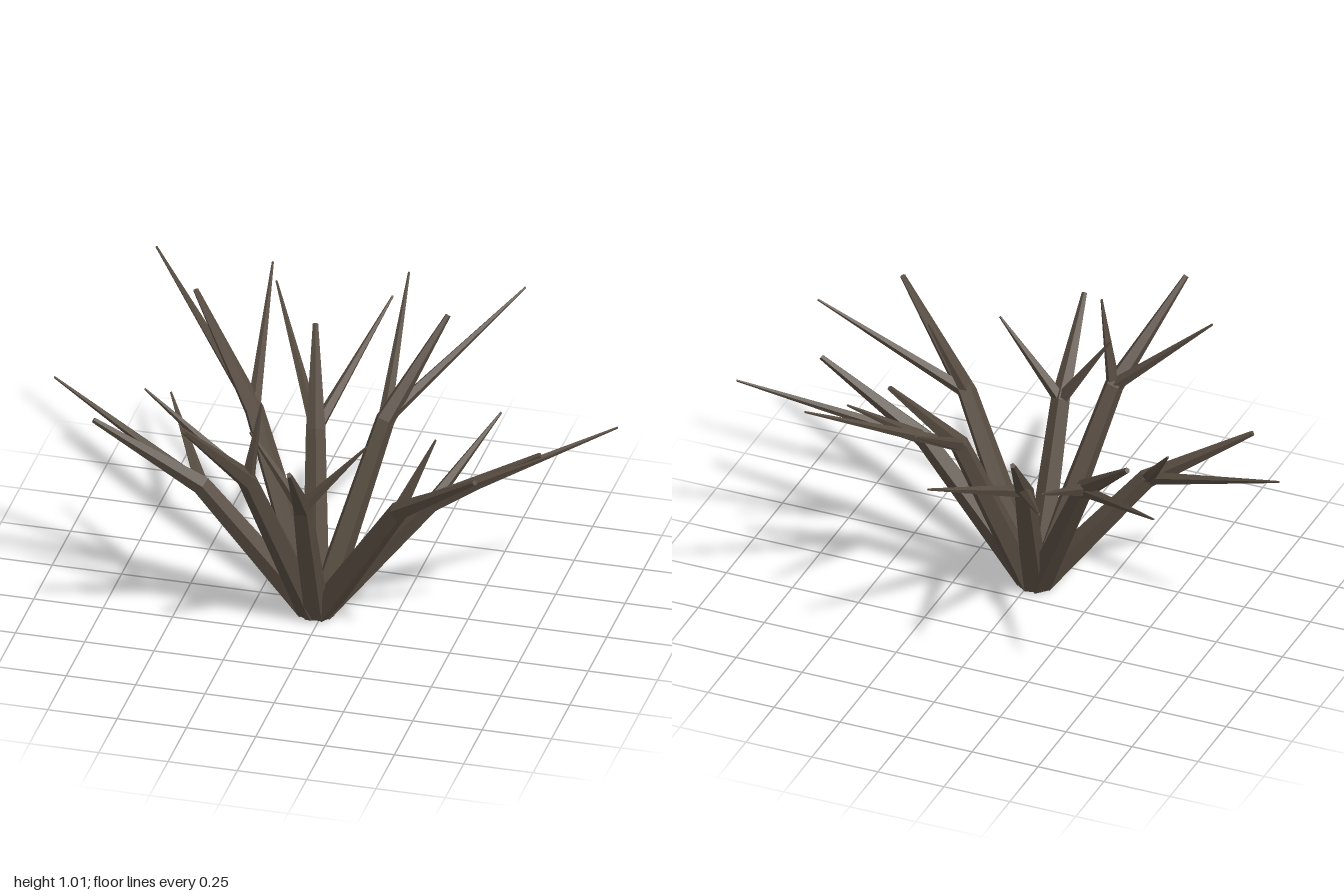
import * as THREE from 'three';

const SIDES = 5;

// Faceted tapering limb through the given points, closed at both ends
function limb(points, radii, material, name) {
  const up = new THREE.Vector3(0, 1, 0);
  const pos = [];
  const index = [];
  const last = points.length - 1;
  points.forEach((p, k) => {
    const t = new THREE.Vector3();
    if (k > 0) t.add(p.clone().sub(points[k - 1]).normalize());
    if (k < last) t.add(points[k + 1].clone().sub(p).normalize());
    t.normalize();
    const u = up.clone().cross(t).normalize();
    const v = t.clone().cross(u);
    for (let i = 0; i < SIDES; i++) {
      const a = Math.PI / 2 + (i / SIDES) * Math.PI * 2;
      const q = p.clone()
        .addScaledVector(u, radii[k] * Math.cos(a))
        .addScaledVector(v, radii[k] * Math.sin(a));
      pos.push(q.x, Math.max(q.y, 0), q.z);
    }
  });
  for (let k = 0; k < last; k++) {
    for (let i = 0; i < SIDES; i++) {
      const a = k * SIDES + i;
      const b = k * SIDES + ((i + 1) % SIDES);
      index.push(a, b, b + SIDES, a, b + SIDES, a + SIDES);
    }
  }
  const end = last * SIDES;
  for (let i = 1; i < SIDES - 1; i++) {
    index.push(0, i + 1, i, end, end + i, end + i + 1);
  }
  const indexed = new THREE.BufferGeometry();
  indexed.setAttribute('position', new THREE.Float32BufferAttribute(pos, 3));
  indexed.setIndex(index);
  const geometry = indexed.toNonIndexed();
  geometry.computeVertexNormals();
  const mesh = new THREE.Mesh(geometry, material);
  mesh.name = name;
  return mesh;
}

export function createModel() {
  const bush = new THREE.Group();
  bush.name = 'deadBush';
  const bark = new THREE.MeshStandardMaterial({ color: 0x574c41, flatShading: true });
  bark.name = 'darkBark';

  // Tips of the eight main branches
  const tips = [
    [-0.6, 0.93, -0.44],
    [-0.17, 0.85, -0.45],
    [0.33, 1.0, -0.37],
    [0.785, 0.755, 0.09],
    [0.665, 0.865, 0.53],
    [0.03, 0.875, 0.66],
    [-0.34, 1.015, 0.695],
    [-0.79, 0.745, 0.23],
  ];
  const root = new THREE.Vector3(-0.022, 0.035, 0.1);

  tips.forEach((coords, n) => {
    const tip = new THREE.Vector3(...coords);
    const out = tip.clone().sub(root).setY(0).normalize();
    const base = root.clone().addScaledVector(out, 0.025);
    // The stem rises steeply to a joint, then bends outwards
    const joint = base.clone().lerp(tip, 0.5);
    joint.y = tip.y * 0.68;

    const branch = new THREE.Group();
    branch.name = `branch${n + 1}`;
    branch.add(limb([base, joint, tip], [0.05, 0.036, 0.01], bark, 'stem'));

    // A pair of thin twigs forks from each joint
    for (const side of [-1, 1]) {
      const twigTip = tip.clone().add(new THREE.Vector3(side * 0.21, 0, -0.26));
      branch.add(limb([joint, twigTip], [0.025, 0.004], bark, side < 0 ? 'rightTwig' : 'leftTwig'));
    }
    bush.add(branch);
  });
  return bush;
}
